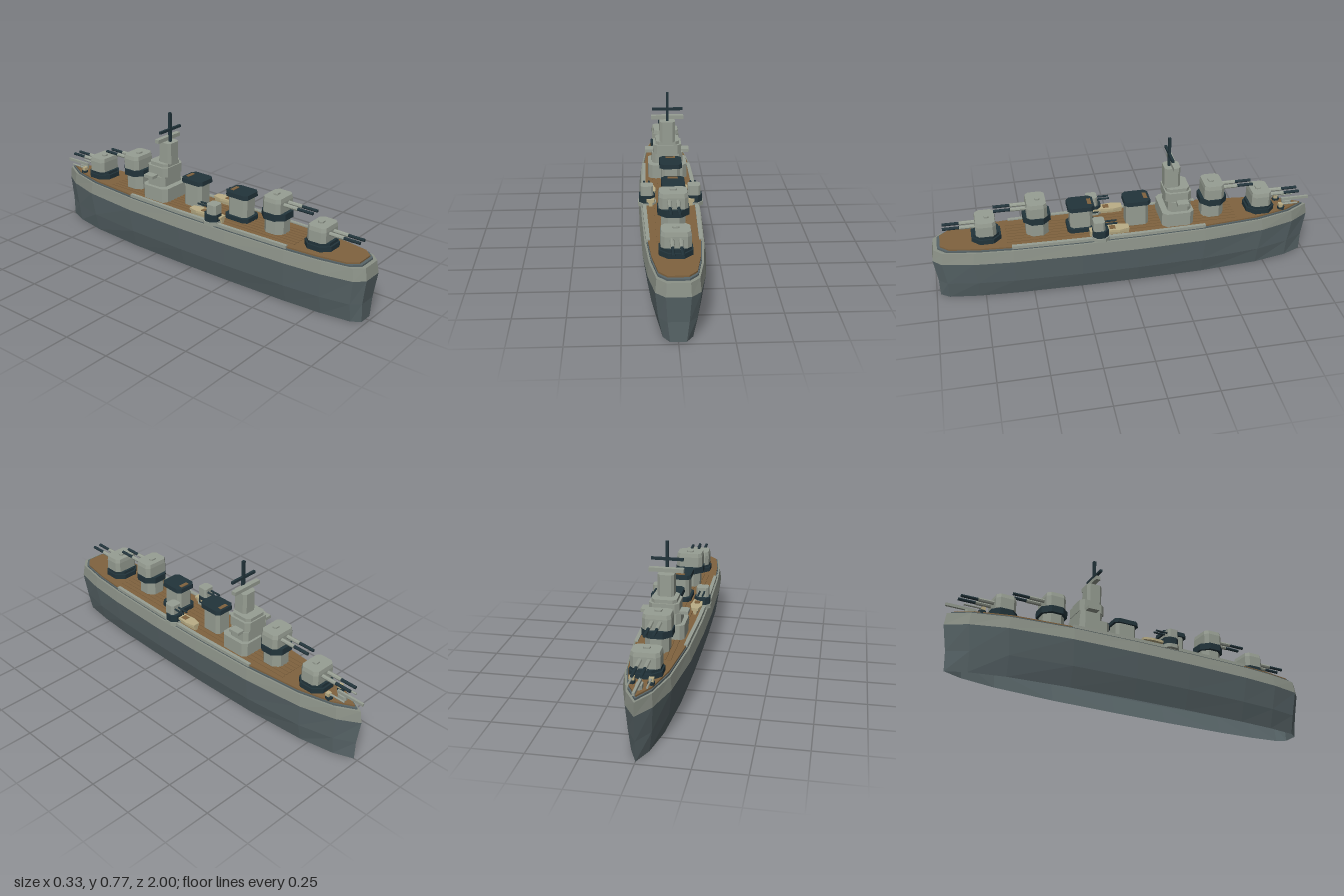
import * as THREE from 'three';

const mat = (name, color) => Object.assign(new THREE.MeshStandardMaterial({ color, flatShading: true }), { name });

export function createModel() {
  const slate = mat('slate hull', 0x586568);
  const upperHull = mat('upper hull grey', 0x8c9288);
  slate.side = upperHull.side = THREE.DoubleSide;
  const grey = mat('superstructure grey', 0x979e93);
  const navy = mat('dark navy', 0x22343b);
  const wood = mat('deck wood', 0x80633f);
  const cream = mat('boat cream', 0xbaae86);

  const root = new THREE.Group();
  root.name = 'warship';

  // Skins a stack of rings (counter-clockwise from above), with optional end caps
  function loft(rings, capBottom = true, capTop = true) {
    const p = [];
    const n = rings[0].length;
    for (let k = 0; k < rings.length - 1; k++) {
      for (let i = 0; i < n; i++) {
        const j = (i + 1) % n;
        const a = rings[k][i], b = rings[k][j], c = rings[k + 1][j], d = rings[k + 1][i];
        p.push(...a, ...b, ...c, ...a, ...c, ...d);
      }
    }
    const cap = (ring, up) => {
      const m = [0, 1, 2].map(q => ring.reduce((s, v) => s + v[q], 0) / n);
      for (let i = 0; i < n; i++) {
        const a = ring[i], b = ring[(i + 1) % n];
        p.push(...m, ...(up ? a : b), ...(up ? b : a));
      }
    };
    if (capBottom) cap(rings[0], false);
    if (capTop) cap(rings[rings.length - 1], true);
    const g = new THREE.BufferGeometry();
    g.setAttribute('position', new THREE.Float32BufferAttribute(p, 3));
    g.computeVertexNormals();
    return g;
  }

  function add(parent, name, geo, material, x = 0, y = 0, z = 0) {
    const m = new THREE.Mesh(geo, material);
    m.name = name;
    m.position.set(x, y, z);
    parent.add(m);
    return m;
  }

  const box = (parent, name, material, w, h, d, x, y, z) =>
    add(parent, name, new THREE.BoxGeometry(w, h, d), material, x, y, z);

  // Block with cut corners standing on y0, its top scaled by taper
  function block(parent, name, material, w, d, y0, y1, x = 0, z = 0, cut = 0.02, taper = 1) {
    const a = w / 2, b = d / 2;
    const o = [[a - cut, b], [a, b - cut], [a, cut - b], [a - cut, -b],
      [cut - a, -b], [-a, cut - b], [-a, b - cut], [cut - a, b]];
    const ring = (y, s) => o.map(([u, v]) => [u * s, y, v * s]);
    return add(parent, name, loft([ring(y0, 1), ring(y1, taper)]), material, x, 0, z);
  }

  function rod(parent, name, material, r, z0, z1, x, y) {
    const g = new THREE.CylinderGeometry(r, r, Math.abs(z1 - z0), 8).rotateX(Math.PI / 2);
    return add(parent, name, g, material, x, y, (z0 + z1) / 2);
  }

  // Hull: one plan outline scaled at each height, open underneath
  const side = [[0.055, 1], [0.1, 0.955], [0.13, 0.8], [0.147, 0.6], [0.157, 0.25],
    [0.157, -0.05], [0.147, -0.4], [0.113, -0.72], [0.062, -0.9]];
  const plan = [...side, [0, -1], ...side.slice().reverse().map(([x, z]) => [-x, z])];
  const level = (y, sx, sz) => plan.map(([x, z]) => [x * sx, y, z * sz]);
  add(root, 'lowerHull', loft([level(0, 0.67, 0.98), level(0.1, 0.87, 0.982), level(0.23, 1, 1)], false, false), slate);
  add(root, 'upperHull', loft([level(0.23, 1, 1), level(0.293, 0.94, 0.99)], false, true), upperHull);
  add(root, 'deckEdge', loft([level(0.293, 0.88, 0.97), level(0.302, 0.88, 0.97)]), slate);
  add(root, 'deck', loft([level(0.302, 0.85, 0.955), level(0.31, 0.85, 0.955)]), wood);

  // Raised deck planks
  for (let i = -3; i <= 3; i++) box(root, 'plank', wood, 0.016, 0.004, 1.2, i * 0.025, 0.311, 0.02);

  // Grey walkways along both deck edges
  const walk = side.slice(3, 7);
  for (const s of [1, -1]) {
    const outer = walk.map(([x, z]) => [s * x * 0.89, z]);
    const inner = walk.map(([x, z]) => [s * x * 0.77, z]).reverse();
    const loop = [...outer, ...inner];
    const shape = new THREE.Shape(loop.map(([x, z]) => new THREE.Vector2(x, -z)));
    const g = new THREE.ExtrudeGeometry(shape, { depth: 0.016, bevelEnabled: false }).rotateX(-Math.PI / 2);
    add(root, 'walkway', g, grey, 0, 0.3, 0);
  }

  // Main gun turrets, dir = which way the guns point along z
  function turret(z, raised, dir) {
    const t = new THREE.Group();
    t.name = raised ? 'raisedTurret' : 'deckTurret';
    t.position.z = z;
    const y = raised ? 0.425 : 0.35;
    if (raised) {
      block(t, 'barbette', grey, 0.115, 0.115, 0.305, 0.395, 0, 0, 0.03);
      block(t, 'barbetteCollar', navy, 0.15, 0.14, 0.39, y, 0, 0, 0.04);
    } else {
      block(t, 'barbette', navy, 0.155, 0.15, 0.305, 0.335, 0, 0, 0.04);
      block(t, 'barbetteCollar', navy, 0.14, 0.13, 0.335, y, 0, 0, 0.035);
    }
    block(t, 'gunHouse', grey, 0.14, 0.104, y, y + 0.055, 0, 0, 0.018);
    block(t, 'gunHouseRoof', grey, 0.14, 0.104, y + 0.055, y + 0.076, 0, 0, 0.018, 0.94);
    block(t, 'hatch', grey, 0.034, 0.026, y + 0.076, y + 0.084, 0, -dir * 0.008, 0.006);
    for (const x of [-0.02, 0.02]) {
      rod(t, 'barrelSleeve', grey, 0.0105, dir * 0.04, dir * 0.13, x, y + 0.04);
      rod(t, 'barrel', navy, 0.008, dir * 0.12, dir * 0.215, x, y + 0.04);
    }
    root.add(t);
  }
  turret(0.72, false, 1);
  turret(0.46, true, 1);
  turret(-0.46, true, -1);
  turret(-0.72, false, -1);

  // Funnels
  for (const [z, base] of [[0.235, true], [-0.055, false]]) {
    const f = new THREE.Group();
    f.name = 'funnel';
    f.position.set(0.01, 0, z);
    if (base) block(f, 'funnelBase', navy, 0.12, 0.145, 0.305, 0.335, 0, 0, 0.02);
    block(f, 'funnelStack', grey, 0.095, 0.115, 0.305, 0.435, 0, 0, 0.016);
    block(f, 'funnelCap', navy, 0.117, 0.138, 0.435, 0.458, 0, 0, 0.018, 0.97);
    box(f, 'capPlate', wood, 0.05, 0.003, 0.02, 0, 0.459, -0.045);
    root.add(f);
  }

  // Bridge tower
  const tower = new THREE.Group();
  tower.name = 'bridgeTower';
  tower.position.z = -0.262;
  block(tower, 'towerBase', grey, 0.205, 0.165, 0.305, 0.385, 0, 0, 0.022);
  block(tower, 'towerMiddle', grey, 0.165, 0.12, 0.385, 0.44, 0, -0.01, 0.02);
  box(tower, 'bridgeWings', grey, 0.235, 0.016, 0.06, 0, 0.441, -0.02);
  block(tower, 'bridge', grey, 0.15, 0.135, 0.44, 0.49, 0, -0.005, 0.02);
  block(tower, 'bridgeRoof', grey, 0.125, 0.12, 0.49, 0.508, 0, -0.005, 0.018);
  block(tower, 'towerShaft', grey, 0.082, 0.082, 0.505, 0.618, 0, 0.022, 0.014);
  box(tower, 'rangefinder', grey, 0.172, 0.02, 0.025, 0, 0.635, 0.016);
  box(tower, 'mast', navy, 0.014, 0.16, 0.014, 0, 0.695, 0.034);
  box(tower, 'yardarm', navy, 0.16, 0.013, 0.013, 0, 0.684, 0.034);
  root.add(tower);

  for (const s of [1, -1]) {
    // Side gun on its sponson, aimed towards the bow
    const g = new THREE.Group();
    g.name = 'sideGun';
    g.position.set(s * 0.118, 0, 0.15);
    block(g, 'sponson', grey, 0.09, 0.085, 0.302, 0.322, 0, 0, 0.022);
    block(g, 'gunRing', navy, 0.08, 0.08, 0.322, 0.36, 0, 0, 0.022);
    block(g, 'gunHouse', grey, 0.064, 0.06, 0.36, 0.41, 0, 0.008, 0.01, 0.96);
    for (const x of [-0.012, 0.012]) rod(g, 'barrel', navy, 0.005, -0.015, -0.085, x, 0.39);
    root.add(g);

    // Ship's boat on a narrow keel, broad towards the bow and running past the gun
    const b = new THREE.Group();
    b.name = 'boat';
    b.position.set(s * 0.1, 0, 0.05);
    const o = [[0.02, 0.152], [0.024, 0.06], [0.03, 0], [0.018, -0.05],
      [-0.018, -0.05], [-0.03, 0], [-0.024, 0.06], [-0.02, 0.152]];
    const ring = (y, k) => o.map(([x, z]) => [x * k, y, z]);
    add(b, 'boatHull', loft([ring(0.31, 0.4), ring(0.328, 0.5), ring(0.333, 1), ring(0.345, 1)]), cream);
    box(b, 'boatSeat', wood, 0.028, 0.005, 0.03, 0, 0.346, 0.035);
    root.add(b);

    // Light gun near the bow
    const l = new THREE.Group();
    l.name = 'bowGun';
    l.position.set(s * 0.044, 0, -0.835);
    block(l, 'mount', navy, 0.03, 0.035, 0.305, 0.322, 0, 0, 0.008);
    box(l, 'shield', cream, 0.024, 0.018, 0.02, 0, 0.331, 0.004);
    rod(l, 'barrel', grey, 0.005, 0, -0.09, 0, 0.335);
    root.add(l);
  }

  // Bow gear
  block(root, 'windlass', grey, 0.03, 0.05, 0.305, 0.33, 0, -0.88, 0.008);
  box(root, 'bowSpar', grey, 0.012, 0.014, 0.15, 0, 0.337, -0.925);

  return root;
}
